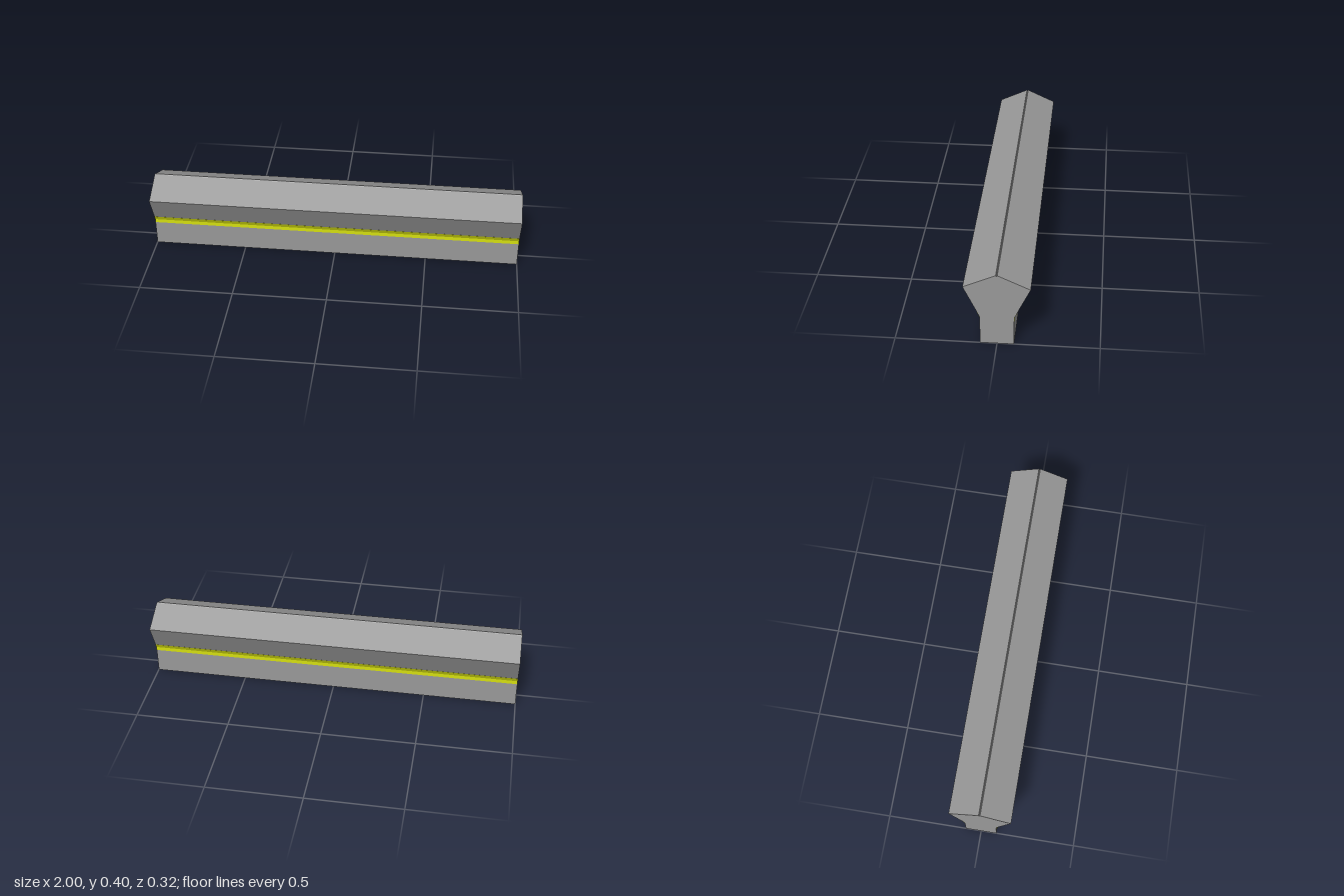
import * as THREE from 'three';

const LENGTH = 2;

// Sweeps a [z, y] cross-section along x, centred on x = 0
function beam(name, points, material) {
  const shape = new THREE.Shape(points.map(([z, y]) => new THREE.Vector2(z, y)));
  const geometry = new THREE.ExtrudeGeometry(shape, { depth: LENGTH, bevelEnabled: false });
  geometry.translate(0, 0, -LENGTH / 2).rotateY(-Math.PI / 2);
  const mesh = new THREE.Mesh(geometry, material);
  mesh.name = name;
  return mesh;
}

export function createModel() {
  const grey = new THREE.MeshStandardMaterial({ color: 0x999999 });
  grey.name = 'grey';
  const yellow = new THREE.MeshStandardMaterial({ color: 0xd6e010 });
  yellow.name = 'yellow';

  const group = new THREE.Group();
  group.name = 'barrier';

  // Body: narrow foot, flared head, pitched top with a small ridge groove
  const half = [[0.083, 0], [0.083, 0.156], [0.162, 0.325], [0.004, 0.398]];
  const mirrored = half.map(([z, y]) => [-z, y]).reverse();
  group.add(beam('body', [...half, [0, 0.392], ...mirrored], grey));

  // Thin stripes folded over the crease on both long sides
  const t = 0.001;
  const stripe = [
    [0.083, 0.136], [0.083 + t, 0.136], [0.083 + t, 0.156],
    [0.0947 + t, 0.1805], [0.0942, 0.18], [0.083, 0.156],
  ];
  group.add(beam('frontStripe', stripe, yellow));
  group.add(beam('backStripe', stripe.map(([z, y]) => [-z, y]), yellow));

  return group;
}
